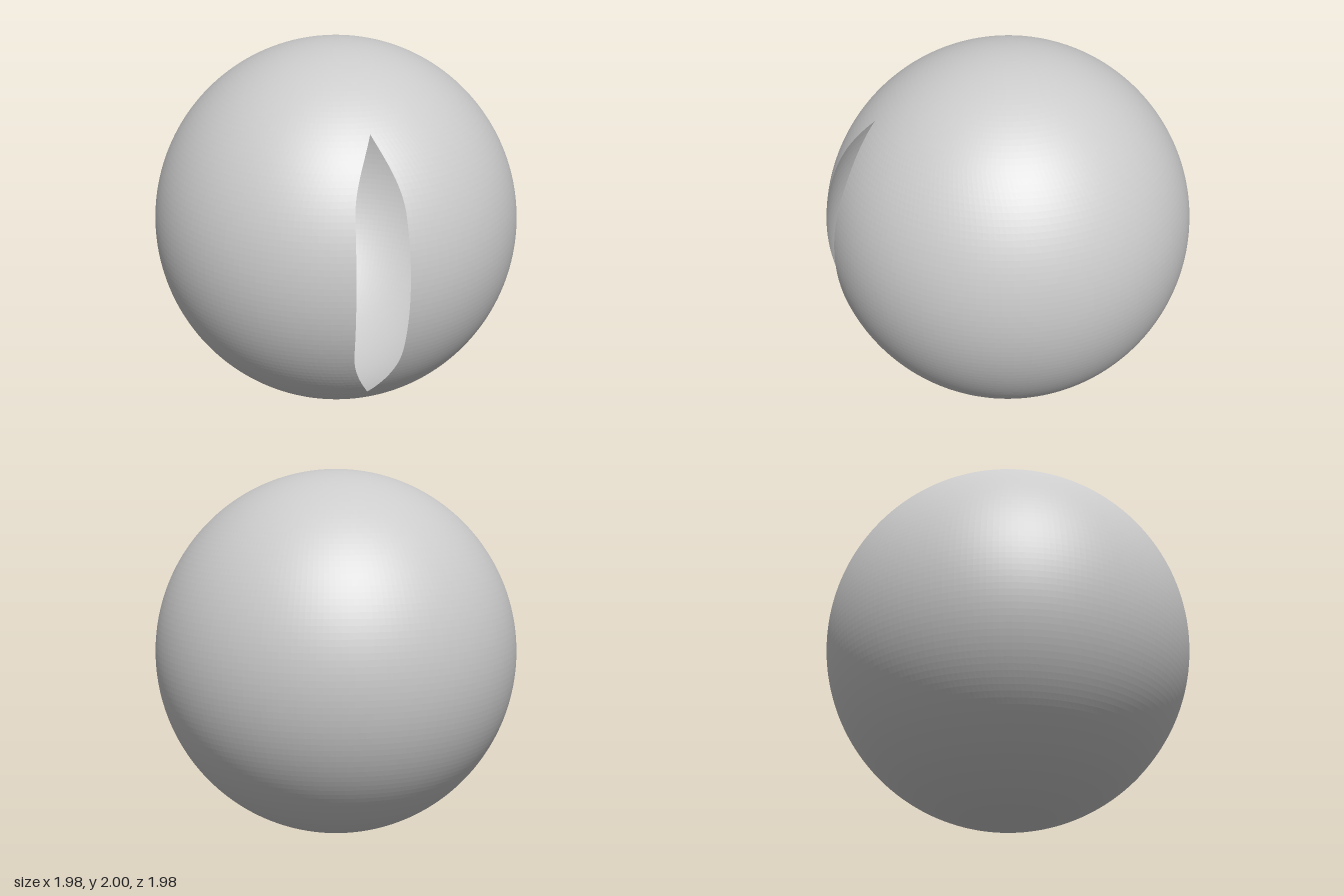
import * as THREE from 'three';

const RADII = new THREE.Vector3(0.99, 1, 0.996);
const SLIT_HALF_ANGLE = 0.137;          // widest half-opening, in longitude
const SLIT_TOP = Math.PI / 4;           // latitude of the slit's pointed ends
const SLIT_TAPER = THREE.MathUtils.degToRad(24);

// Half-opening of the slit at a latitude: zero at the tips, constant in the middle
function slitHalfAngle(latitude) {
  const t = THREE.MathUtils.clamp((SLIT_TOP - Math.abs(latitude)) / SLIT_TAPER, 0, 1);
  return SLIT_HALF_ANGLE * Math.sin(t * Math.PI / 2);
}

export function createModel() {
  const group = new THREE.Group();
  group.name = 'slitSphere';

  // Sphere whose seam faces the front; its columns are drawn back to open the slit
  const sphere = new THREE.SphereGeometry(1, 192, 96);
  const { position, uv } = sphere.attributes;
  for (let i = 0; i < position.count; i++) {
    const latitude = Math.asin(THREE.MathUtils.clamp(position.getY(i), -1, 1));
    const gap = slitHalfAngle(latitude);
    const u = THREE.MathUtils.clamp(uv.getX(i), 0, 1);
    const angle = gap + u * 2 * (Math.PI - gap);
    const ring = Math.cos(latitude);
    position.setXYZ(
      i,
      RADII.x * ring * Math.sin(angle),
      RADII.y * Math.sin(latitude),
      RADII.z * ring * Math.cos(angle)
    );
  }

  // Fine facets, seen from outside and through the slit
  const geometry = sphere.toNonIndexed();
  geometry.computeVertexNormals();
  const material = new THREE.MeshStandardMaterial({
    color: 0xcccccc, flatShading: true, side: THREE.DoubleSide
  });
  const shell = new THREE.Mesh(geometry, material);
  shell.name = 'hollowShell';
  shell.position.set(0, RADII.y, 0.004);
  group.add(shell);
  return group;
}
